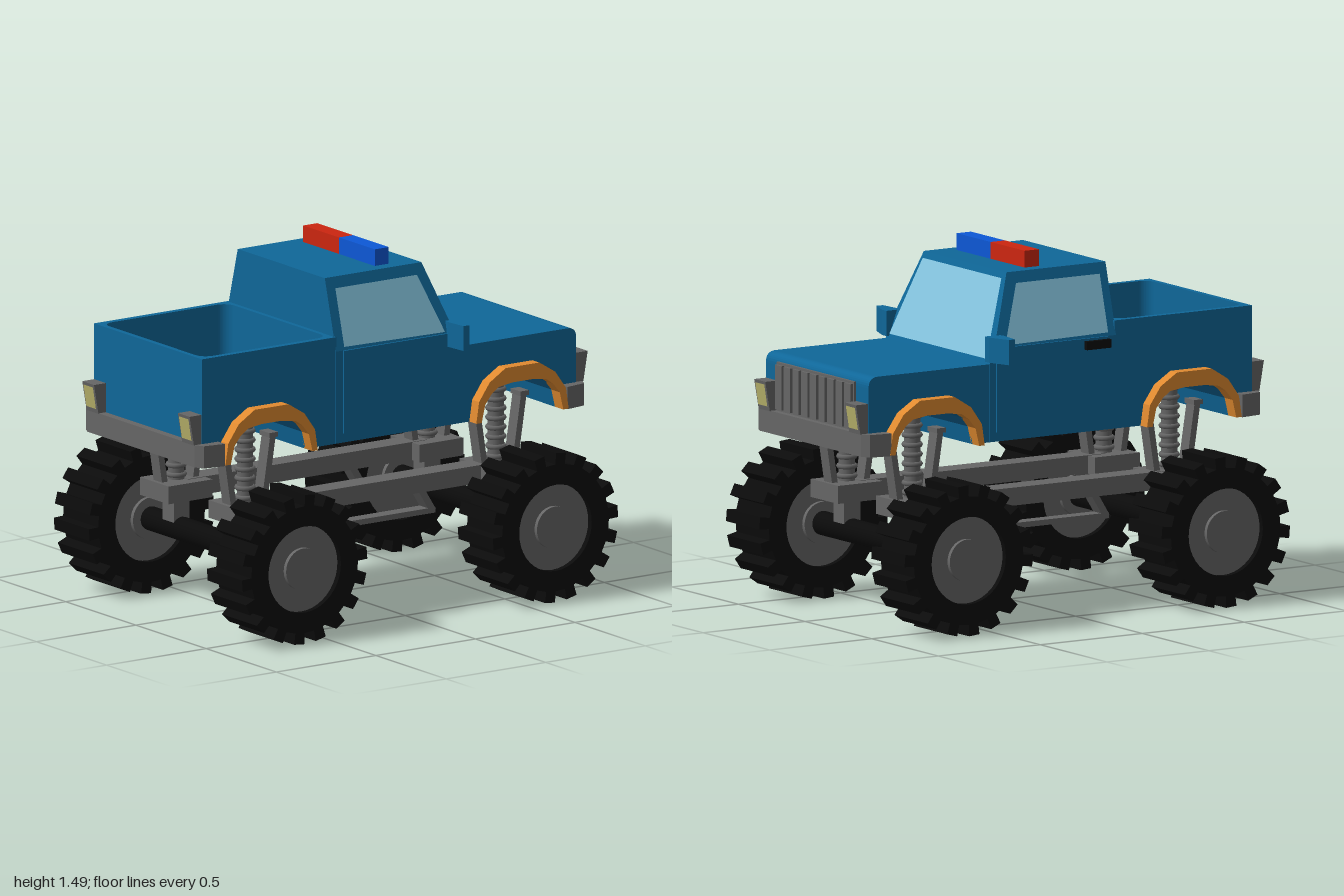
import * as THREE from 'three';

const mat = (name, color, side = THREE.FrontSide) => {
  const m = new THREE.MeshStandardMaterial({ color, side });
  m.name = name;
  return m;
};

export function createModel() {
  const truck = new THREE.Group();
  truck.name = 'monsterTruck';
  const paint = mat('bluePaint', 0x0f6799);
  const orange = mat('orangeTrim', 0xe08a30);
  const grey = mat('greyMetal', 0x666666);
  const black = mat('blackRubber', 0x0b0b0b);
  const glass = mat('paleGlass', 0x86c6e0, THREE.DoubleSide);
  const lens = mat('yellowLens', 0xbab46c, THREE.DoubleSide);
  const red = mat('redLight', 0xcc2610);
  const blue = mat('blueLight', 0x0d58d6);

  const add = (name, geo, material, parent = truck) => {
    const m = new THREE.Mesh(geo, material);
    m.name = name;
    parent.add(m);
    return m;
  };
  // box given by its ranges on x, y and z
  const box = (name, material, [x0, x1], [y0, y1], [z0, z1], parent) =>
    add(name, new THREE.BoxGeometry(x1 - x0, y1 - y0, z1 - z0)
      .translate((x0 + x1) / 2, (y0 + y1) / 2, (z0 + z1) / 2), material, parent);
  const poly = (pts) => new THREE.Shape(pts.map(([a, b]) => new THREE.Vector2(a, b)));
  // side profile (z, y) extruded from x0 to x1
  const across = (shape, x0, x1) =>
    new THREE.ExtrudeGeometry(shape, { depth: x1 - x0, bevelEnabled: false, curveSegments: 8 })
      .rotateY(-Math.PI / 2).translate(x1, 0, 0);
  // plan (x, z) extruded from y0 to y1
  const upward = (shape, y0, y1) =>
    new THREE.ExtrudeGeometry(shape, { depth: y1 - y0, bevelEnabled: false, curveSegments: 6 })
      .rotateX(Math.PI / 2).translate(0, y1, 0);
  const quad = (...p) => {
    const g = new THREE.BufferGeometry();
    g.setAttribute('position', new THREE.Float32BufferAttribute([0, 1, 2, 0, 2, 3].flatMap((i) => p[i]), 3));
    g.computeVertexNormals();
    return g;
  };
  // square bar between two points
  const bar = (name, material, a, b, w, h) => {
    const p = new THREE.Vector3(...a), q = new THREE.Vector3(...b);
    const m = add(name, new THREE.BoxGeometry(w, h, p.distanceTo(q)), material);
    m.position.copy(p).lerp(q, 0.5);
    m.lookAt(q);
  };

  const axles = [0.625, -0.635];
  const mirrored = (half, z) => [...half, ...half.slice().reverse().map(([a, b]) => [-a, b])]
    .map(([a, b]) => [a + z, b]);
  const archInner = [[0.205, 0.74], [0.187, 0.815], [0.155, 0.855], [0.12, 0.88], [0.05, 0.89]];
  const archOuter = [[0.232, 0.74], [0.218, 0.83], [0.165, 0.905], [0.085, 0.955]];

  // lower body with wheel arches, bed floor and bonnet
  const side = poly([[0.94, 0.93], [0.94, 0.74], ...mirrored(archInner, axles[0]),
    ...mirrored(archInner, axles[1]), [-0.94, 0.74], [-0.94, 1.02]]);
  side.quadraticCurveTo(-0.94, 1.065, -0.895, 1.065);
  side.lineTo(0.2, 1.065);
  side.lineTo(0.2, 0.93);
  add('lowerBody', across(side, -0.385, 0.385), paint);

  // bed walls with a rounded opening
  const bed = poly([[-0.385, 0.265], [0.385, 0.265], [0.385, 0.94], [-0.385, 0.94]]);
  const [hx, z0, z1, r] = [0.358, 0.29, 0.917, 0.05];
  const hole = new THREE.Path();
  hole.absarc(hx - r, z1 - r, r, 0, Math.PI / 2);
  hole.absarc(-hx + r, z1 - r, r, Math.PI / 2, Math.PI);
  hole.absarc(-hx + r, z0 + r, r, Math.PI, Math.PI * 1.5);
  hole.absarc(hx - r, z0 + r, r, Math.PI * 1.5, Math.PI * 2);
  bed.holes.push(hole);
  add('bedWalls', upward(bed, 0.925, 1.19), paint);

  // cab lofted through rings of [y, half width, front z, back z]
  const rings = [[0.742, 0.39, -0.35, 0.27], [1.065, 0.39, -0.35, 0.27],
    [1.13, 0.39, -0.326, 0.27], [1.425, 0.31, -0.215, 0.27]];
  const corners = ([y, h, f, b]) => [[h, y, b], [h, y, f], [-h, y, f], [-h, y, b]];
  const cab = new THREE.Group();
  cab.name = 'cab';
  truck.add(cab);
  for (let i = 0; i < 3; i++) {
    const a = corners(rings[i]), b = corners(rings[i + 1]);
    for (let k = 0; k < 4; k++) {
      const n = (k + 1) % 4;
      add('cabPanel', quad(a[k], a[n], b[n], b[k]), paint, cab);
    }
  }
  add('roof', quad(...corners(rings[3])), paint, cab);
  add('cabFloor', quad(...corners(rings[0]).reverse()), paint, cab);

  // glass
  const wz = (y) => -0.35 + (y - 1.065) * 0.375 - 0.006;
  add('windscreen', quad([-0.365, 1.085, wz(1.085)], [0.365, 1.085, wz(1.085)],
    [0.295, 1.4, wz(1.4)], [-0.295, 1.4, wz(1.4)]), glass);
  for (const s of [1, -1]) {
    const wx = (y) => s * (0.396 - (y - 1.13) * 0.271);
    add('sideWindow', quad([wx(1.145), 1.145, 0.23], [wx(1.138), 1.138, -0.275],
      [wx(1.38), 1.38, -0.18], [wx(1.38), 1.38, 0.23]), glass);
    const door = add('door', across(poly([[0.235, 0.78], [0.235, 1.13], [-0.318, 1.13], [-0.318, 0.78]]),
      -0.005, 0.005), paint);
    door.position.x = s * 0.393;
    // wing mirror swept back from the pillar
    const plan = [[0.37, -0.36], [0.4, -0.36], [0.498, -0.325], [0.495, -0.295], [0.4, -0.285], [0.37, -0.29]];
    add('wingMirror', upward(poly(plan.map(([x, z]) => [x * s, z])), 1.075, 1.18), paint);
  }
  box('doorHandle', black, [-0.418, -0.39], [1.085, 1.12], [0.11, 0.23]);

  // roof light bar
  box('redBeacon', red, [-0.255, 0], [1.42, 1.495], [-0.09, -0.02]);
  box('blueBeacon', blue, [0, 0.255], [1.42, 1.495], [-0.09, -0.02]);

  // bumpers and lamps, the same at both ends
  for (const turn of [0, Math.PI]) {
    const end = new THREE.Group();
    end.name = turn ? 'bonnetEnd' : 'bedEnd';
    end.rotation.y = turn;
    truck.add(end);
    const half = [[0.38, 0.86], [0.435, 0.86], [0.42, 0.955], [0.38, 0.975]];
    const flip = half.slice().reverse().map(([x, z]) => [-x, z]);
    add('bumper', upward(poly([...half, ...flip, [-0.38, 0.935], [0.38, 0.935]]), 0.738, 0.832), grey, end);
    const lamp = poly([[0.93, 0.83], [0.978, 0.83], [1.0, 0.955], [0.93, 0.955]]);
    for (const s of [1, -1]) {
      const c = s * 0.34;
      add('lampHousing', across(lamp, c - 0.042, c + 0.042), grey, end);
      add('lampLens', quad([c - 0.034, 0.85, 0.985], [c + 0.034, 0.85, 0.985],
        [c + 0.034, 0.943, 1.0], [c - 0.034, 0.943, 1.0]), lens, end);
    }
  }

  // grille with upright slats
  box('grille', grey, [-0.29, 0.29], [0.83, 1.035], [-0.95, -0.93]);
  for (let i = 0; i < 9; i++) {
    const x = -0.26 + i * 0.065;
    box('grilleSlat', grey, [x - 0.024, x + 0.024], [0.84, 1.025], [-0.962, -0.945]);
  }

  // toothed tyre outline with a rim opening
  const tread = [];
  const teeth = 18;
  for (let i = 0; i < teeth; i++) {
    for (const [t, rad] of [[0, 0.268], [0.5, 0.268], [0.52, 0.315], [0.98, 0.315]]) {
      const a = ((i + t) / teeth) * Math.PI * 2;
      tread.push([Math.cos(a) * rad, Math.sin(a) * rad]);
    }
  }
  const tyreShape = poly(tread);
  tyreShape.holes.push(new THREE.Path().absarc(0, 0, 0.182, 0, Math.PI * 2, true));
  const tyreGeo = new THREE.ExtrudeGeometry(tyreShape, { depth: 0.25, bevelEnabled: false, curveSegments: 20 })
    .rotateY(-Math.PI / 2).translate(0.125, 0, 0);
  const drum = (rad, len, n = 32) => new THREE.CylinderGeometry(rad, rad, len, n).rotateZ(Math.PI / 2);

  for (const z of axles) {
    add('axle', drum(0.05, 0.9, 20), black).position.set(0, 0.315, z);
    for (const s of [1, -1]) {
      const wheel = new THREE.Group();
      wheel.name = 'wheel';
      wheel.position.set(s * 0.545, 0.315, z);
      truck.add(wheel);
      add('tyre', tyreGeo, black, wheel);
      add('rim', drum(0.183, 0.2), grey, wheel);
      add('hub', drum(0.088, 0.235), grey, wheel);

      // fender flare
      const flare = poly([...mirrored(archOuter, z), ...mirrored(archInner, z).reverse()]);
      add('fenderFlare', across(flare, s > 0 ? 0.375 : -0.435, s > 0 ? 0.435 : -0.375), orange);

      // suspension: mount, post, coil spring and a pair of dampers
      const x = s * 0.245;
      box('springMount', grey, [x - 0.103, x + 0.103], [0.445, 0.52], [z - 0.11, z + 0.11]);
      box('axlePost', grey, [x - 0.04, x + 0.04], [0.33, 0.45], [z - 0.04, z + 0.04]);
      add('springCore', new THREE.CylinderGeometry(0.034, 0.034, 0.39, 16), grey).position.set(x, 0.7, z);
      for (let i = 0; i < 9; i++) {
        add('springCoil', new THREE.TorusGeometry(0.034, 0.011, 6, 16).rotateX(Math.PI / 2), grey)
          .position.set(x, 0.54 + i * 0.04, z);
      }
      for (const d of [1, -1]) {
        bar('damper', grey, [x, 0.5, z + d * 0.075], [x, 0.79, z + d * 0.12], 0.06, 0.028);
        box('damperCap', grey, [x - 0.035, x + 0.035], [0.78, 0.8], [z + d * 0.12 - 0.022, z + d * 0.12 + 0.022]);
      }
    }
  }

  // chassis rails with a truss beneath
  for (const s of [1, -1]) {
    const x = s * 0.245;
    box('chassisRail', grey, [x - 0.05, x + 0.05], [0.447, 0.522], [-0.6, 0.6]);
    box('trussBar', grey, [x - 0.03, x + 0.03], [0.347, 0.37], [-0.31, 0.31]);
    for (const d of [1, -1]) {
      bar('trussStrut', grey, [x, 0.355, d * 0.3], [x, 0.46, d * 0.235], 0.06, 0.03);
    }
  }
  return truck;
}
